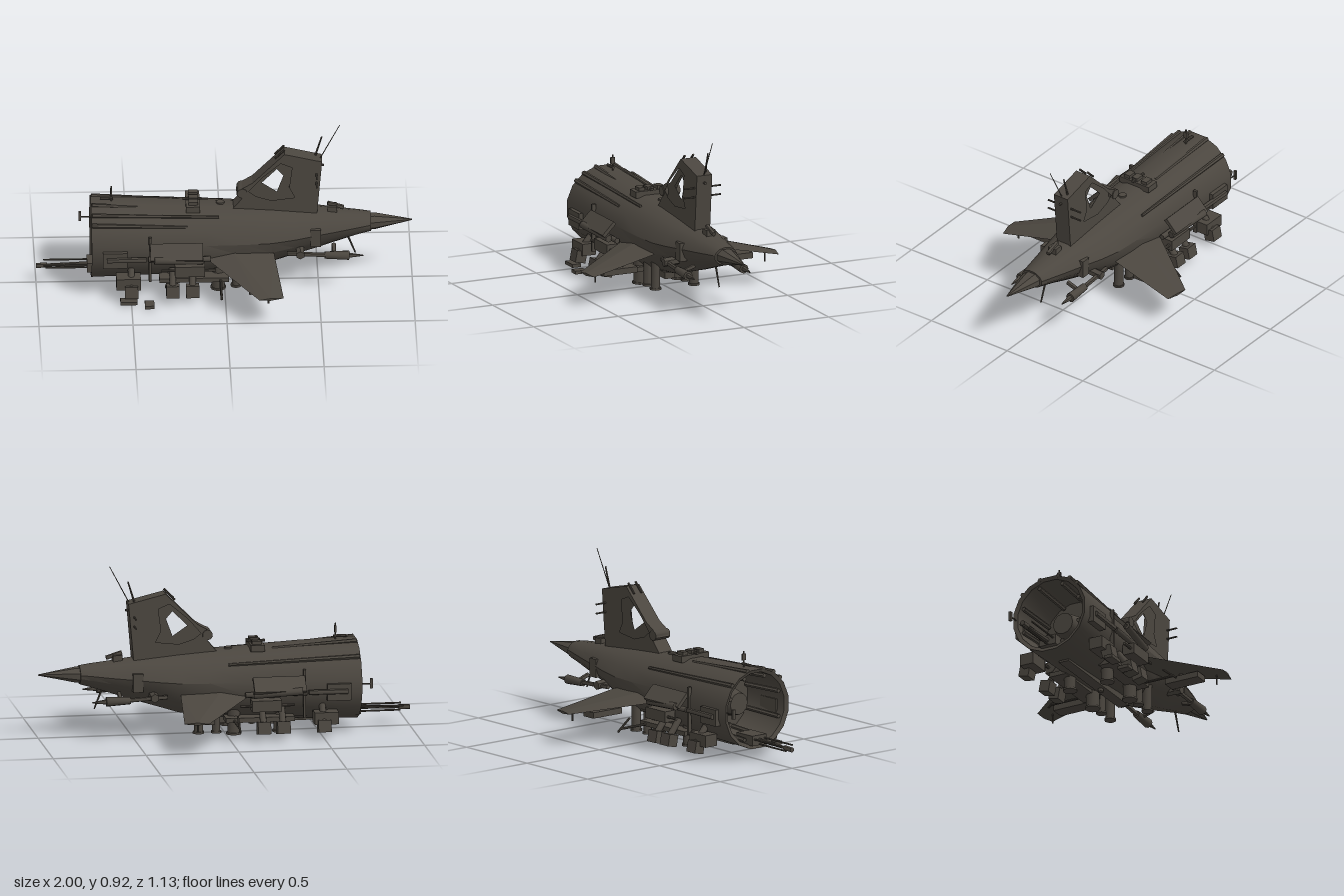
import * as THREE from 'three';
import { toCreasedNormals } from 'three/addons/utils/BufferGeometryUtils.js';
import { ConvexGeometry } from 'three/addons/geometries/ConvexGeometry.js';

const metal = new THREE.MeshStandardMaterial({ color: 0x4b463f });
metal.name = 'dark gunmetal';

export function createModel() {
  const model = new THREE.Group();
  model.name = 'spacecraft';

  const add = (name, geo) => {
    const mesh = new THREE.Mesh(geo, metal);
    mesh.name = name;
    model.add(mesh);
    return mesh;
  };
  const box = (name, x0, x1, y0, y1, z0, z1) => {
    const m = add(name, new THREE.BoxGeometry(x1 - x0, y1 - y0, Math.abs(z1 - z0)));
    m.position.set((x0 + x1) / 2, (y0 + y1) / 2, (z0 + z1) / 2);
    return m;
  };
  // Round bar between two points
  const rod = (name, p, q, r0, r1 = r0, n = 8) => {
    const a = new THREE.Vector3(...p), b = new THREE.Vector3(...q);
    const d = b.clone().sub(a);
    const m = add(name, toCreasedNormals(new THREE.CylinderGeometry(r1, r0, d.length(), n), 0.9));
    m.position.copy(a).add(b).multiplyScalar(0.5);
    m.quaternion.setFromUnitVectors(new THREE.Vector3(0, 1, 0), d.normalize());
    return m;
  };
  const hull = (name, pts) => add(name, new ConvexGeometry(pts.map(p => new THREE.Vector3(...p))));

  // Skin through sections [x, top y, bottom y, half width, keel sharpness]
  const loft = (name, sections, n = 16) => {
    const pos = [], idx = [];
    sections.forEach(([x, top, bot, w, keel]) => {
      for (let j = 0; j < n; j++) {
        const a = (j + 0.5) / n * Math.PI * 2;
        let s = Math.sin(a), c = Math.cos(a);
        if (c < 0) {
          const k = 1 + keel * (1 / (Math.abs(s) + Math.abs(c)) - 1);
          s *= k; c *= k;
        }
        pos.push(x, (top + bot) / 2 + c * (top - bot) / 2 * 1.02, s * w * 1.02);
      }
    });
    for (let i = 0; i < sections.length - 1; i++) {
      for (let j = 0; j < n; j++) {
        const k = (j + 1) % n, a = i * n + j, b = i * n + k;
        idx.push(a, b, b + n, a, b + n, a + n);
      }
    }
    const g = new THREE.BufferGeometry();
    g.setAttribute('position', new THREE.Float32BufferAttribute(pos, 3));
    g.setIndex(idx);
    return add(name, toCreasedNormals(g, 0.45));
  };

  // Fuselage: engine bay wall, rear rim, outer skin to the collar
  loft('fuselage', [
    [-0.42, 0.276, 0.274, 0.001, 0], [-0.42, 0.45, 0.10, 0.175, 0], [-0.70, 0.468, 0.08, 0.195, 0],
    [-0.71, 0.487, 0.06, 0.217, 0], [-0.4, 0.476, 0.07, 0.212, 0], [-0.1, 0.46, 0.083, 0.2, 0],
    [0.1, 0.45, 0.093, 0.192, 0.2], [0.25, 0.44, 0.11, 0.182, 0.5], [0.37, 0.43, 0.145, 0.163, 0.7],
    [0.5, 0.42, 0.185, 0.132, 0.8], [0.62, 0.405, 0.23, 0.105, 0.7], [0.72, 0.395, 0.267, 0.082, 0.5],
    [0.78, 0.387, 0.288, 0.066, 0.2], [0.78, 0.341, 0.339, 0.001, 0],
  ]);
  loft('noseCone', [
    [0.74, 0.341, 0.339, 0.001, 0], [0.74, 0.38, 0.294, 0.056, 0], [0.8, 0.38, 0.298, 0.056, 0],
    [0.9, 0.364, 0.32, 0.03, 0], [1, 0.347, 0.341, 0.004, 0], [1, 0.345, 0.344, 0.001, 0],
  ], 8);

  // Engine bay fittings
  for (let i = 0; i < 8; i++) {
    const a = (i + 0.5) * Math.PI / 4, y = Math.cos(a), z = Math.sin(a);
    rod('bayRib', [-0.43, 0.275 + 0.165 * y, 0.17 * z], [-0.69, 0.275 + 0.18 * y, 0.18 * z], 0.012, 0.012, 6);
  }
  rod('engineCore', [-0.42, 0.275, 0], [-0.56, 0.275, 0], 0.09, 0.06, 12);

  // Skin strips along the back
  for (const [z, y, x1] of [[0.12, 0.462, -0.03], [-0.165, 0.425, 0.0], [0.165, 0.425, -0.2], [-0.06, 0.487, -0.25], [0.05, 0.488, -0.35]]) {
    rod('skinStrip', [-0.705, y - 0.004, z], [x1, y - 0.028, z * 0.93], 0.013, 0.008, 6);
  }

  // Dorsal fin: thin-holed core between two plates with a wider opening
  const outline = [[0.03, 0.43], [0.10, 0.515], [0.065, 0.53], [0.08, 0.56], [0.15, 0.6], [0.32, 0.77], [0.52, 0.722], [0.492, 0.4]];
  const small = [[0.20, 0.59], [0.28, 0.67], [0.315, 0.63], [0.28, 0.535]];
  const wide = [[0.13, 0.55], [0.20, 0.63], [0.30, 0.715], [0.36, 0.69], [0.345, 0.57], [0.375, 0.51], [0.25, 0.495], [0.17, 0.52]];
  const toV2 = p => new THREE.Vector2(...p);
  for (const [name, hole, z0, z1] of [['finCore', small, -0.02, 0.02], ['finPlate', wide, 0.02, 0.045], ['finPlate', wide, -0.045, -0.02]]) {
    const s = new THREE.Shape(outline.map(toV2));
    s.holes.push(new THREE.Path(hole.map(toV2)));
    add(name, new THREE.ExtrudeGeometry(s, { depth: z1 - z0, bevelEnabled: false })).position.z = z0;
  }
  rod('finJoint', [0.095, 0.54, -0.05], [0.095, 0.54, 0.05], 0.028, 0.028, 10);
  rod('finSpar', [0.27, 0.735, 0.02], [0.32, 0.785, 0.02], 0.006);
  rod('finSpar', [0.27, 0.735, -0.03], [0.32, 0.785, -0.03], 0.006);
  rod('mast', [0.48, 0.71, -0.02], [0.52, 0.84, -0.02], 0.006, 0.004);
  rod('whipAntenna', [0.51, 0.72, 0], [0.615, 0.92, 0], 0.003, 0.002, 5);
  for (const y of [0.6, 0.65]) rod('finCrossRod', [0.49, y, -0.11], [0.49, y, 0.105], 0.005);
  rod('finLight', [0.5, 0.68, 0], [0.53, 0.68, 0], 0.007);

  // Dorsal equipment
  box('dorsalTurretBase', -0.205, -0.13, 0.45, 0.485, -0.1, 0.09);
  for (const z of [-0.06, 0, 0.05]) box('dorsalTurretBlock', -0.19, -0.14, 0.48, 0.503, z - 0.018, z + 0.018);
  rod('dorsalTurretBarrel', [-0.22, 0.49, 0], [-0.12, 0.49, 0], 0.008);
  rod('dorsalCap', [-0.02, 0.45, -0.01], [-0.02, 0.465, -0.01], 0.022);
  rod('rearMast', [-0.6, 0.47, 0], [-0.6, 0.57, 0], 0.005);
  rod('rearMastArm', [-0.66, 0.5, 0], [-0.59, 0.5, 0], 0.008);
  box('rearMastBlock', -0.605, -0.595, 0.52, 0.555, -0.012, 0.012);
  box('noseSensor', 0.55, 0.6, 0.4, 0.44, -0.026, 0.026);
  rod('noseSensorBarrel', [0.55, 0.452, 0], [0.635, 0.425, 0], 0.012);

  // Tail guns and probe
  rod('tailGun', [-0.66, 0.11, 0], [-1, 0.1, 0], 0.012, 0.008);
  rod('tailGunMuzzle', [-0.94, 0.102, 0], [-1, 0.1, 0], 0.014);
  for (const z of [-0.035, 0.035]) rod('tailGunBarrel', [-0.66, 0.115, z], [-0.96, 0.115, z], 0.005);
  rod('tailGunRail', [-0.68, 0.085, 0], [-0.95, 0.085, 0], 0.005);
  box('tailGunMount', -0.73, -0.6, 0.08, 0.135, -0.05, 0.05);
  rod('tailProbe', [-0.69, 0.28, -0.205], [-0.76, 0.28, -0.205], 0.004);
  box('tailProbeHead', -0.768, -0.753, 0.256, 0.308, -0.215, -0.2);

  for (const s of [1, -1]) {
    // Swept wing with under-wing store
    hull('wing', [
      [-0.12, 0.235, s * 0.17], [0.04, 0.262, s * 0.17], [0.26, 0.245, s * 0.17], [0.04, 0.205, s * 0.17],
      [0.17, 0.172, s * 0.565], [0.23, 0.18, s * 0.56], [0.3, 0.172, s * 0.545], [0.23, 0.166, s * 0.56],
    ]);
    rod('wingProng', [0.22, 0.175, s * 0.5], [0.22, 0.12, s * 0.5], 0.005);
    box('underwingStore', 0.12, 0.2, 0.14, 0.172, s * 0.24, s * 0.44);
    rod('underwingPylon', [0.16, 0.16, s * 0.32], [0.16, 0.22, s * 0.32], 0.014);
    rod('sideStrut', [-0.025, 0.1, s * 0.12], [-0.025, 0.1, s * 0.375], 0.007);
    rod('sideStrutBrace', [-0.025, 0.085, s * 0.39], [-0.025, 0.15, s * 0.31], 0.006);

    // Forward cannon
    rod('cannonBarrel', [0.33, 0.235, s * 0.16], [0.56, 0.225, s * 0.166], 0.012);
    rod('cannonPod', [0.53, 0.225, s * 0.165], [0.66, 0.222, s * 0.165], 0.02, 0.026);
    rod('cannonTip', [0.66, 0.222, s * 0.165], [0.735, 0.22, s * 0.165], 0.014, 0.003);
    rod('cannonMount', [0.4, 0.24, s * 0.1], [0.4, 0.235, s * 0.185], 0.024, 0.024, 6);
    rod('cannonMount', [0.58, 0.25, s * 0.09], [0.58, 0.225, s * 0.165], 0.012);
    box('cheekPanel', 0.455, 0.51, 0.26, 0.36, s * 0.1, s * 0.14);

    // Flank machinery
    box('flankBox', -0.65, -0.52, 0.2, 0.29, s * 0.18, s * 0.237);
    rod('flankPipe', [-0.63, 0.25, s * 0.24], [-0.42, 0.25, s * 0.235], 0.014);
    box('flankPost', -0.407, -0.393, 0.11, 0.37, s * 0.2, s * 0.222);
    rod('flankRail', [-0.41, 0.25, s * 0.235], [-0.08, 0.245, s * 0.225], 0.015);
    const flap = box('flankFlap', -0.4, -0.12, 0.3, 0.32, s * 0.205, s * 0.3);
    flap.rotation.x = s * 0.8;
    flap.position.y = 0.3;
    rod('flankTank', [-0.38, 0.27, s * 0.285], [-0.12, 0.25, s * 0.255], 0.02);
    box('flankStore', -0.27, -0.11, 0.16, 0.22, s * 0.2, s * 0.27);
    rod('flankStoreRod', [-0.34, 0.19, s * 0.25], [-0.05, 0.19, s * 0.25], 0.008);

    // Belly canisters
    for (const [x, r, y] of [[-0.28, 0.032, 0.025], [-0.035, 0.035, 0.02], [0.06, 0.022, 0.03], [0.155, 0.025, 0.03]]) {
      rod('bellyCanister', [x, y, s * 0.113], [x, 0.18, s * 0.113], r, r, 12);
      rod('bellyCanisterFoot', [x, y - 0.008, s * 0.113], [x, y + 0.003, s * 0.113], r + 0.006, r + 0.006, 12);
    }
    for (const x of [-0.5, -0.28, -0.175]) {
      const pod = box('outerPod', x - 0.035, x + 0.035, 0.035, 0.1, s * 0.22, s * 0.28);
      pod.rotation.x = -s * 0.2;
      rod('outerPodArm', [x, 0.08, s * 0.25], [x, 0.17, s * 0.18], 0.018);
    }
    box('bellyBox', -0.58, -0.45, 0.075, 0.14, s * 0.17, s * 0.25);
    box('bellyRack', -0.35, 0.02, 0.09, 0.115, s * 0.1, s * 0.2);
  }

  // Loose plates, keel fittings and chin prong
  box('hangingPlate', -0.56, -0.47, 0.012, 0.03, 0.25, 0.3);
  box('hangingPlate', -0.43, -0.38, 0, 0.018, 0.26, 0.325);
  rod('keelStud', [-0.15, 0.04, 0], [-0.15, 0.1, 0], 0.016);
  box('keelBeam', -0.55, 0.1, 0.055, 0.09, -0.03, 0.03);
  rod('chinProng', [0.655, 0.26, 0], [0.698, 0.15, 0], 0.006, 0.004);

  return model;
}
